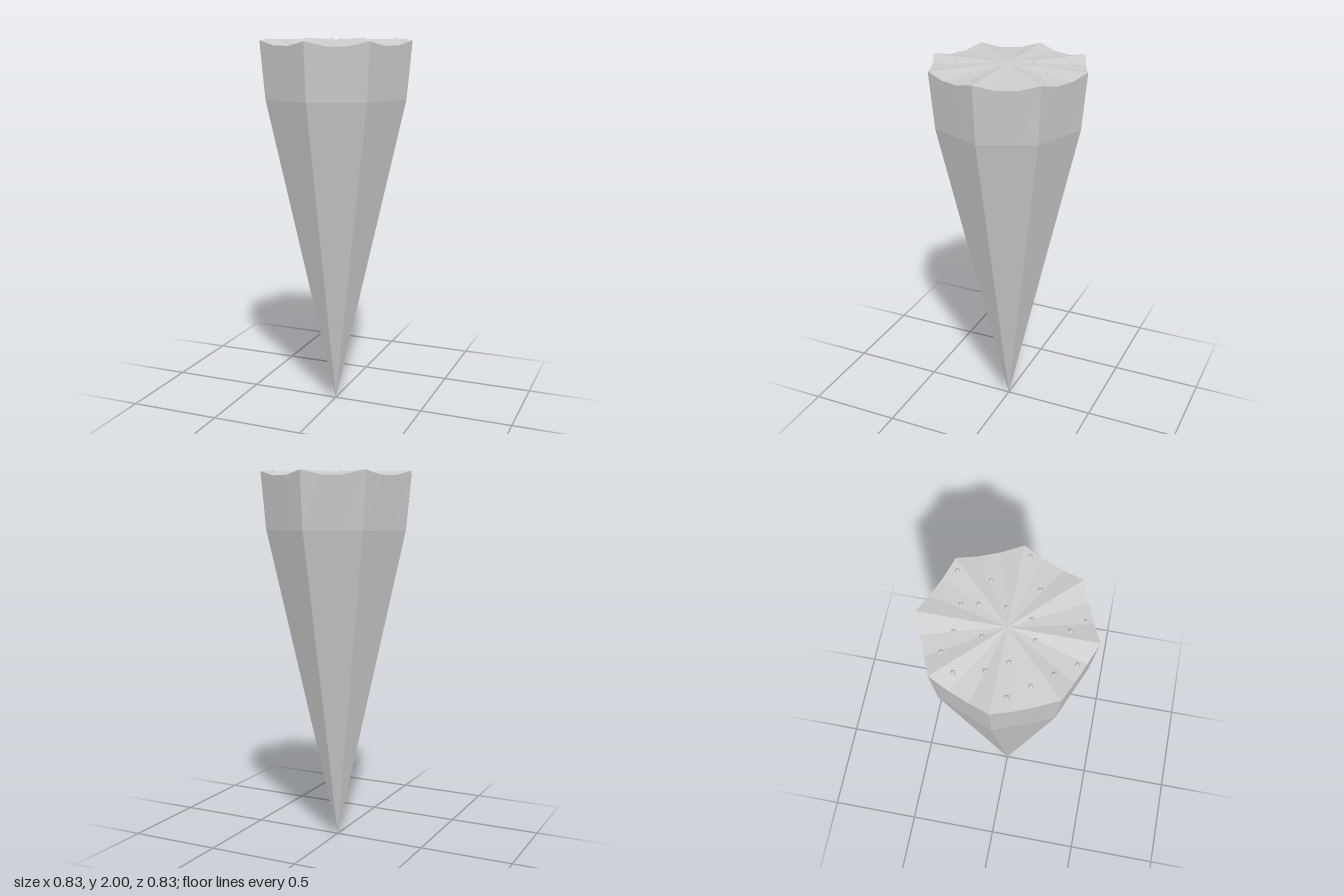
import * as THREE from 'three';

const SIDES = 8, PARTS = 3;
const RIM_R = 0.417, RIM_Y = 1.987, DIP = 0.024;
const RING_R = 0.39, RING_Y = 1.69;

const corner = (i, r, y) => {
  const a = (i / SIDES) * Math.PI * 2;
  return new THREE.Vector3(Math.sin(a) * r, y, Math.cos(a) * r);
};

// Scallop depth along one side of the rim, t from 0 to 1
const scallop = (t) => DIP * Math.min(1, 3 * Math.min(t, 1 - t));

// Height of the fluted cap at any x, z
function capHeight(x, z) {
  const step = (Math.PI * 2) / SIDES;
  const a = (Math.atan2(x, z) + Math.PI * 2) % step;
  const r = Math.hypot(x, z), half = step / 2;
  const t = 0.5 + (0.5 * Math.tan(a - half)) / Math.tan(half);
  const s = (r * Math.cos(a - half)) / (RIM_R * Math.cos(half));
  return RIM_Y - s * scallop(t);
}

function meshFrom(name, points, material) {
  const geometry = new THREE.BufferGeometry().setFromPoints(points);
  geometry.computeVertexNormals();
  const mesh = new THREE.Mesh(geometry, material);
  mesh.name = name;
  return mesh;
}

export function createModel() {
  const group = new THREE.Group();
  group.name = 'taperedCone';
  const material = new THREE.MeshStandardMaterial({ color: 0xcccccc, flatShading: true });

  const tip = new THREE.Vector3(0, 0, 0);
  const centre = new THREE.Vector3(0, RIM_Y, 0);
  const cone = [], collar = [], cap = [];

  for (let i = 0; i < SIDES; i++) {
    const low = [corner(i, RING_R, RING_Y), corner(i + 1, RING_R, RING_Y)];
    const high = [corner(i, RIM_R, RIM_Y), corner(i + 1, RIM_R, RIM_Y)];
    cone.push(tip, low[1], low[0]);
    for (let k = 0; k < PARTS; k++) {
      const [t0, t1] = [k / PARTS, (k + 1) / PARTS];
      const rim = [t0, t1].map((t) => {
        const p = high[0].clone().lerp(high[1], t);
        p.y -= scallop(t);
        return p;
      });
      const base = [t0, t1].map((t) => low[0].clone().lerp(low[1], t));
      collar.push(base[0], base[1], rim[1], base[0], rim[1], rim[0]);
      cap.push(centre, rim[0], rim[1]);
    }
  }
  group.add(
    meshFrom('cone', cone, material),
    meshFrom('collar', collar, material),
    meshFrom('scallopedCap', cap, material),
  );

  // Small square pyramids scattered over the cap, given as x, z
  const spots = [
    [-0.165, -0.265], [-0.058, -0.23], [0.076, -0.226], [0.238, -0.274], [-0.252, -0.194],
    [0.092, -0.147], [0.219, -0.116], [-0.064, -0.101], [-0.217, -0.057], [0.095, -0.021],
    [-0.322, 0.058], [-0.16, 0.038], [0.37, 0.034], [0.06, 0.099], [0.215, 0.111],
    [-0.249, 0.152], [-0.036, 0.134], [-0.18, 0.24], [0.037, 0.278], [-0.11, 0.334],
    [0.104, 0.338],
  ];
  const stud = new THREE.ConeGeometry(0.021, 0.022, 4).rotateY(Math.PI / 4);
  const studs = new THREE.Group();
  studs.name = 'studs';
  for (const [x, z] of spots) {
    const mesh = new THREE.Mesh(stud, material);
    mesh.name = 'stud';
    mesh.position.set(x, Math.min(capHeight(x, z) + 0.005, 1.989), z);
    studs.add(mesh);
  }
  group.add(studs);
  return group;
}
